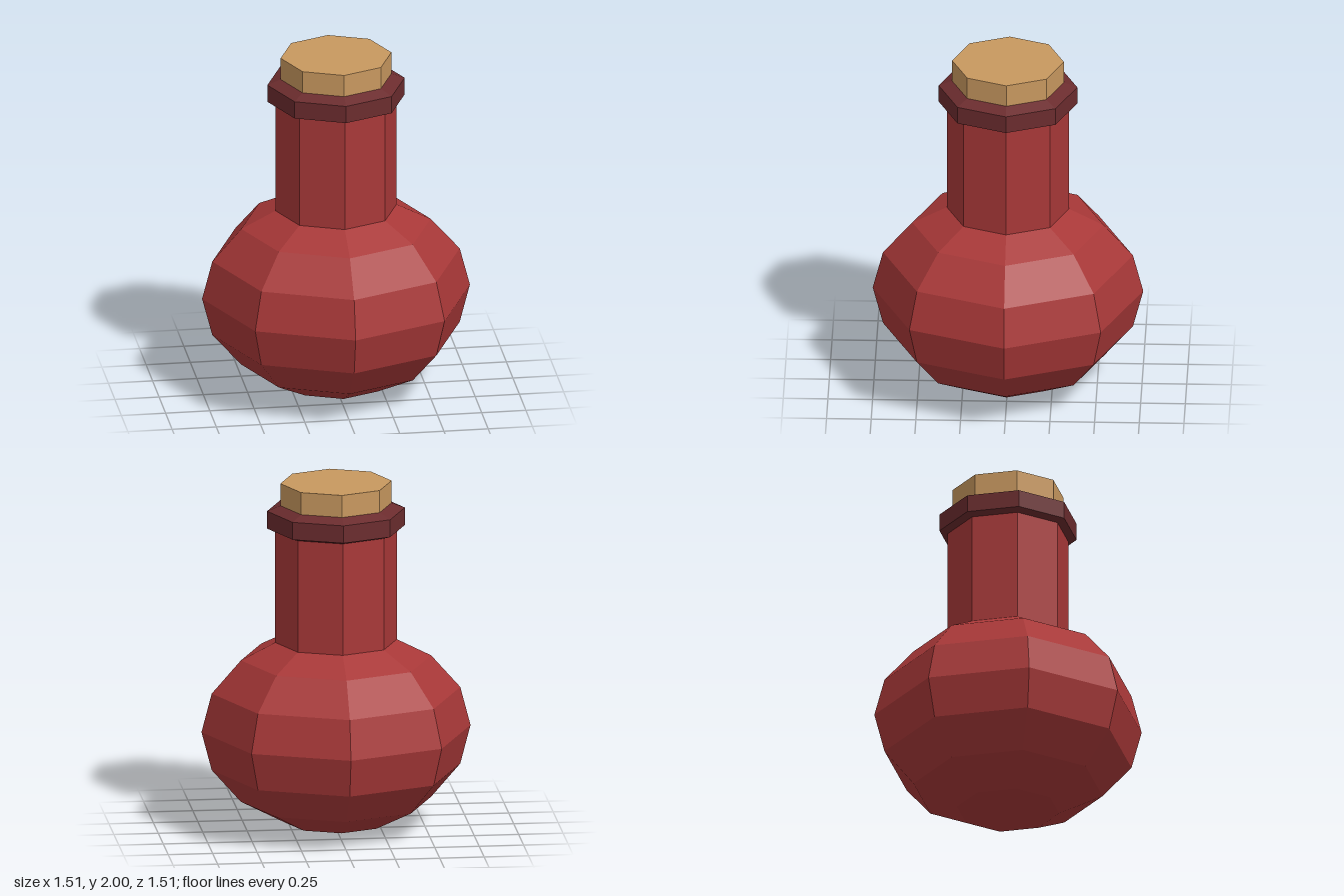
import * as THREE from 'three';

const SIDES = 8;

function flatMaterial(name, color) {
  const material = new THREE.MeshStandardMaterial({ color, flatShading: true });
  material.name = name;
  return material;
}

export function createModel() {
  const group = new THREE.Group();
  group.name = 'potionFlask';

  const red = flatMaterial('red glass', 0xa83838);
  const darkRed = flatMaterial('dark red rim', 0x6b2c2e);
  const cork = flatMaterial('cork', 0xc8985f);

  const add = (name, geometry, material, y) => {
    const mesh = new THREE.Mesh(geometry, material);
    mesh.name = name;
    mesh.position.y = y;
    group.add(mesh);
  };

  // Squashed round body
  add('body', new THREE.SphereGeometry(0.757, SIDES, 8).scale(1, 0.576 / 0.757, 1), red, 0.58);

  // Straight neck, sunk into the body
  const neckBottom = 0.98, neckTop = 1.8;
  add('neck', new THREE.CylinderGeometry(0.342, 0.342, neckTop - neckBottom, SIDES), red, (neckBottom + neckTop) / 2);

  // Five-sided ring around the mouth
  const ring = [[0.235, 0], [0.295, -0.081], [0.388, -0.05], [0.388, 0.05], [0.295, 0.087], [0.235, 0]];
  add('lip', new THREE.LatheGeometry(ring.map(([r, y]) => new THREE.Vector2(r, y)), SIDES), darkRed, 1.793);

  // Cork stopper
  add('stopper', new THREE.CylinderGeometry(0.313, 0.313, 0.25, SIDES), cork, 1.875);

  return group;
}
